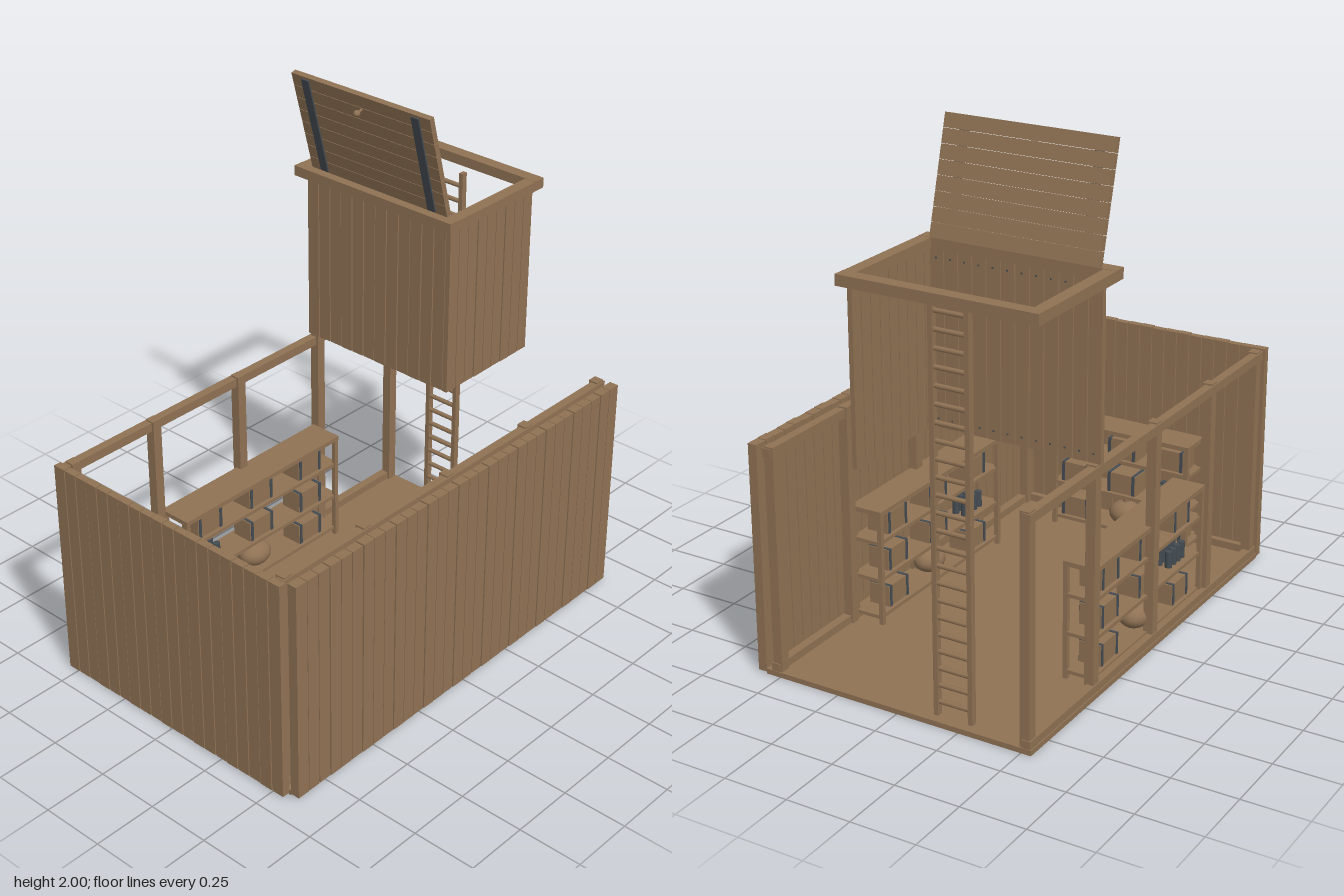
import * as THREE from 'three';

export function createModel() {
  const root = new THREE.Group();
  root.name = 'cellarWithHatch';
  const wood = new THREE.MeshStandardMaterial({ color: 0x8f7254 });
  wood.name = 'wood';
  const metal = new THREE.MeshStandardMaterial({ color: 0x444c52 });
  metal.name = 'darkMetal';

  const add = (parent, name, geo, mat, x, y, z) => {
    const m = new THREE.Mesh(geo, mat);
    m.name = name;
    m.position.set(x, y, z);
    parent.add(m);
    return m;
  };
  // box given by its limits on each axis
  const box = (parent, name, x0, x1, y0, y1, z0, z1, mat = wood) =>
    add(parent, name, new THREE.BoxGeometry(x1 - x0, y1 - y0, z1 - z0), mat,
      (x0 + x1) / 2, (y0 + y1) / 2, (z0 + z1) / 2);
  const group = (name, parent = root) => {
    const g = new THREE.Group();
    g.name = name;
    parent.add(g);
    return g;
  };

  // wall of upright planks along x or z, with slightly uneven thickness
  const plankWall = (name, axis, from, to, count, t0, t1, y0, y1) => {
    const g = group(name);
    const pitch = (to - from) / count;
    for (let i = 0; i < count; i++) {
      const a = from + i * pitch, b = a + pitch - 0.004;
      const uneven = ((i * 7) % 3) * 0.001;
      if (axis === 'x') box(g, 'plank', a, b, y0, y1 - uneven, t0, t1 - uneven);
      else box(g, 'plank', t0 + uneven, t1, y0, y1 - uneven, a, b);
    }
    return g;
  };

  // floor and planked walls
  box(root, 'floor', -0.89, 0.87, 0, 0.02, -0.54, 0.56);
  plankWall('frontWall', 'x', -0.89, 0.872, 32, 0.56, 0.597, 0.006, 0.886);
  plankWall('sideWall', 'z', -0.54, 0.556, 20, -0.922, -0.892, 0.006, 0.886);

  // timber frames along front and back
  for (const side of [-1, 1]) {
    const g = group(side < 0 ? 'backFrame' : 'frontFrame');
    const zs = (a, b) => side < 0 ? [-b, -a] : [a, b];
    for (const x of [-0.858, -0.47, -0.032, 0.41, 0.845])
      box(g, 'post', x - 0.019, x + 0.019, 0.02, 0.886, ...zs(0.493, 0.531));
    box(g, 'topBeam', -0.885, 0.868, 0.845, 0.88, ...zs(0.502, 0.536));
    box(g, 'sill', -0.885, 0.868, 0.02, 0.05, ...zs(0.502, 0.536));
  }
  box(root, 'sideSill', -0.89, -0.865, 0.02, 0.05, -0.53, 0.53);

  // hatch shaft walls and rim
  plankWall('shaftFrontWall', 'x', 0.392, 0.872, 9, 0.137, 0.157, 0.886, 1.545);
  plankWall('shaftSideWall', 'z', -0.54, 0.137, 12, 0.392, 0.412, 0.886, 1.545);
  const nails = group('nails');
  for (const y of [0.92, 1.51])
    for (let i = 0; i < 12; i++) {
      const z = -0.512 + i * 0.0564;
      box(nails, 'nail', 0.411, 0.414, y - 0.003, y + 0.003, z - 0.003, z + 0.003, metal);
    }
  const rim = group('shaftRim');
  box(rim, 'rimSideBeam', 0.38, 0.43, 1.545, 1.585, -0.597, 0.165);
  box(rim, 'rimOuterBeam', 0.87, 0.92, 1.545, 1.585, -0.597, 0.165);
  box(rim, 'rimBackBeam', 0.43, 0.87, 1.545, 1.584, -0.597, -0.55);
  box(rim, 'rimFrontBeam', 0.43, 0.87, 1.545, 1.584, 0.117, 0.165);

  // open hatch lid, leaning back from its hinge
  const lid = group('hatchLid');
  lid.position.set(0.428, 1.585, -0.21);
  lid.rotation.z = 0.26;
  const pitch = 0.0533;
  for (let i = 0; i < 8; i++)
    box(lid, 'lidPlank', -0.011, 0.011, i * pitch, (i + 1) * pitch - 0.002, -0.328, 0.328);
  for (const z of [-0.26, 0.26])
    box(lid, 'lidStrap', -0.017, -0.011, 0.01, 0.415, z - 0.018, z + 0.018, metal);
  const stem = add(lid, 'knobStem', new THREE.CylinderGeometry(0.005, 0.005, 0.025, 10), wood, -0.022, 0.365, 0);
  stem.rotation.z = Math.PI / 2;
  add(lid, 'knob', new THREE.SphereGeometry(0.013, 14, 10), wood, -0.038, 0.365, 0);

  // ladder
  const ladder = group('ladder');
  for (const z of [-0.14, -0.278])
    box(ladder, 'ladderRail', 0.81, 0.834, 0.02, 1.545, z - 0.009, z + 0.009);
  for (let i = 0; i < 23; i++) {
    const rung = add(ladder, 'rung', new THREE.CylinderGeometry(0.009, 0.009, 0.155, 8), wood,
      0.82, 0.07 + i * 0.0645, -0.209);
    rung.rotation.x = Math.PI / 2;
  }

  // stocked shelf: long side on local x, depth on local z
  const makeShelf = (name, length, spread, bottleSide) => {
    const g = group(name);
    const h = length / 2, d = 0.068;
    box(g, 'shelfTop', -h, h, 0.462, 0.48, -d, d);
    for (const y of [0.05, 0.2, 0.35])
      box(g, 'shelfBoard', -h, h, y - 0.007, y + 0.007, -d + 0.008, d - 0.008);
    for (const sx of [-1, 1]) for (const sz of [-1, 1]) {
      const x = sx * (h - 0.01), z = sz * (d - 0.01);
      box(g, 'shelfPost', x - 0.009, x + 0.009, 0.02, 0.462, z - 0.009, z + 0.009);
    }
    for (let row = 0; row < 3; row++) for (let col = -1; col <= 1; col++) {
      const x = col * spread, y = 0.057 + row * 0.15;
      if (row === 0 && col === 0) {
        // squat round jar
        const pot = add(g, 'roundJar', new THREE.SphereGeometry(0.07, 20, 14), wood, x, y + 0.05, 0);
        pot.scale.set(1, 0.72, 0.85);
        add(g, 'jarStopper', new THREE.CylinderGeometry(0.012, 0.012, 0.02, 12), wood, x, y + 0.105, 0);
      } else if (row === 1 && col === bottleSide) {
        // rows of dark canisters
        for (let i = 0; i < 4; i++) for (const z of [-0.02, 0.02])
          add(g, 'canister', new THREE.CylinderGeometry(0.014, 0.014, 0.065, 12), metal,
            x + (i - 1.5) * 0.034, y + 0.0325, z);
      } else {
        // crate with two dark bands
        box(g, 'crate', x - 0.065, x + 0.065, y, y + 0.083, -0.044, 0.044);
        for (const s of [-1, 1])
          box(g, 'crateBand', x + s * 0.054 - 0.006, x + s * 0.054 + 0.006, y, y + 0.085, -0.047, 0.047, metal);
      }
    }
    return g;
  };
  makeShelf('backShelf', 0.835, 0.275, -1).position.set(-0.032, 0, -0.448);
  makeShelf('frontShelf', 0.835, 0.275, -1).position.set(-0.032, 0, 0.455);
  const sideShelf = makeShelf('sideShelf', 0.615, 0.212, 1);
  sideShelf.position.set(-0.798, 0, 0.004);
  sideShelf.rotation.y = Math.PI / 2;

  return root;
}
